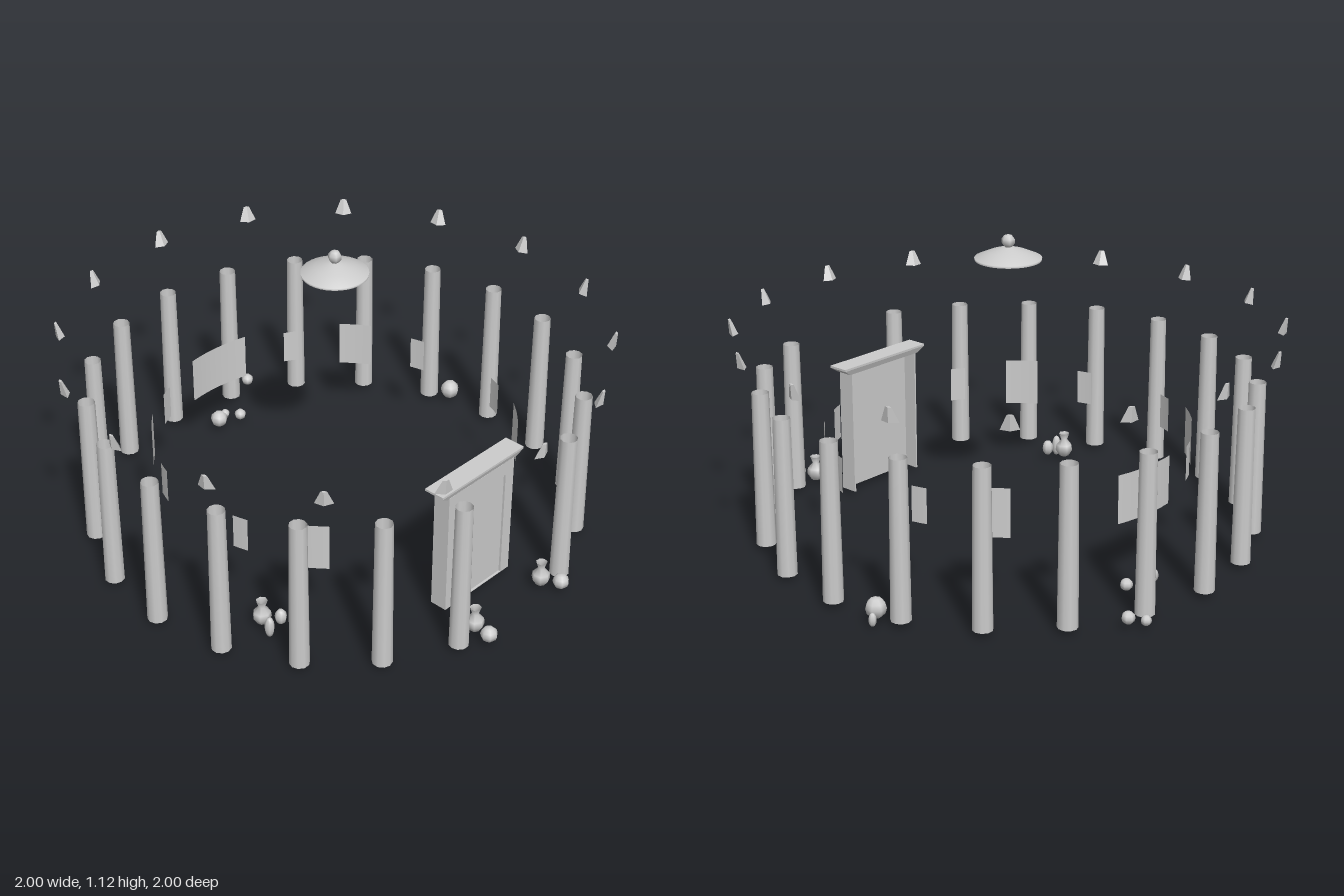
import * as THREE from 'three';

const RAD = Math.PI / 180;
const smooth = new THREE.MeshStandardMaterial({ color: 0xcccccc, side: THREE.DoubleSide });
const faceted = new THREE.MeshStandardMaterial({ color: 0xcccccc, side: THREE.DoubleSide, flatShading: true });

function add(parent, name, geometry, material, x = 0, y = 0, z = 0) {
  const mesh = new THREE.Mesh(geometry, material);
  mesh.name = name;
  mesh.position.set(x, y, z);
  parent.add(mesh);
  return mesh;
}

function group(parent, name) {
  const g = new THREE.Group();
  g.name = name;
  parent.add(g);
  return g;
}

// Four-sided frustum whose top is wider or narrower than its base
function frustum(w, d, h, topScaleX, topScaleZ) {
  const geo = new THREE.BoxGeometry(w, h, d);
  const p = geo.attributes.position;
  for (let i = 0; i < p.count; i++) {
    if (p.getY(i) > 0) p.setXYZ(i, p.getX(i) * topScaleX, p.getY(i), p.getZ(i) * topScaleZ);
  }
  geo.computeVertexNormals();
  return geo;
}

// Hollow tapering columns, with a gap at the gate
function buildColumns(root) {
  const columns = group(root, 'columns');
  const geo = new THREE.CylinderGeometry(0.031, 0.036, 0.575, 10, 1, true);
  for (let i = 1; i < 20; i++) {
    const a = (3.3 + i * 18) * RAD;
    const c = add(columns, 'column', geo, smooth, 0.89 * Math.sin(a), 0.3075, 0.89 * Math.cos(a));
    c.rotation.y = a;
  }
}

// Crown of small points leaning outward
function buildPoints(root) {
  const points = group(root, 'crownPoints');
  const geo = new THREE.CylinderGeometry(0.011, 0.032, 0.054, 4);
  geo.scale(1, 1, 0.5);
  const p = geo.attributes.position;
  for (let i = 0; i < p.count; i++) {
    p.setZ(i, p.getZ(i) + 0.98 + (p.getY(i) > 0 ? 0.012 : -0.002));
  }
  geo.computeVertexNormals();
  for (let i = 0; i < 16; i++) {
    add(points, 'crownPoint', geo, faceted, 0, 0.776, 0).rotation.y = i * 22.5 * RAD;
  }
}

// Curved panels hung on an inner circle: [angle, width, height]
function buildPanels(root) {
  const panels = group(root, 'wallPanels');
  const r = 0.665;
  const panel = (deg, w, h) => {
    const t = w / r;
    const geo = new THREE.CylinderGeometry(r, r, h, w > 0.2 ? 6 : 2, 1, true, deg * RAD - t / 2, t);
    add(panels, 'wallPanel', geo, smooth, 0, 0.336, 0);
  };
  for (const s of [-1, 1]) {
    for (const a of [28, 72, 108, 152]) panel(s * a, 0.058, 0.13);
    for (const a of [50, 130]) panel(s * a, 0.125, 0.178);
  }
  panel(180, 0.265, 0.178);
}

// Gate: shallow shell open at the back, inset door, flared cornice
function buildGate(root) {
  const gate = group(root, 'gate');
  const a = 3.2 * RAD;
  gate.rotation.y = a;
  gate.position.set(0.663 * Math.sin(a), 0, 0.663 * Math.cos(a));
  const W = 0.171, B = 0.02, T = 0.498;
  const frame = new THREE.Shape();
  frame.moveTo(-W, B).lineTo(W, B).lineTo(W, T).lineTo(-W, T).closePath();
  const hole = new THREE.Path();
  hole.moveTo(-0.128, B + 0.003).lineTo(-0.128, 0.445).lineTo(0.128, 0.445).lineTo(0.128, B + 0.003).closePath();
  frame.holes.push(hole);
  add(gate, 'doorFrame', new THREE.ExtrudeGeometry(frame, { depth: 0.012, bevelEnabled: false }), faceted, 0, 0, 0.022);
  add(gate, 'door', new THREE.BoxGeometry(0.258, 0.425, 0.004), faceted, 0, 0.2345, 0.024);
  for (const s of [-1, 1]) {
    add(gate, 'sideWall', new THREE.BoxGeometry(0.006, T - B, 0.064), faceted, s * (W - 0.003), (T + B) / 2, 0);
  }
  add(gate, 'cornice', frustum(0.36, 0.064, 0.022, 1.18, 1.25), faceted, 0, 0.505, 0);
  add(gate, 'corniceSlab', new THREE.BoxGeometry(0.425, 0.008, 0.08), faceted, 0, 0.52, 0);
}

// Floating roof cap with a knob
function buildCap(root) {
  const cap = group(root, 'roofCap');
  const profile = [[0.119, 1.022], [0.12, 1.03], [0.07, 1.052], [0.02, 1.068], [0, 1.069]]
    .map(([x, y]) => new THREE.Vector2(x, y));
  add(cap, 'capDome', new THREE.LatheGeometry(profile, 32), smooth);
  add(cap, 'capKnob', new THREE.SphereGeometry(0.025, 6, 5), smooth, 0, 1.09, 0);
}

// Vases and round jars standing in clusters
function buildPots(root) {
  const pots = group(root, 'pots');
  const profile = [[0, 0.02], [0.018, 0.02], [0.034, 0.045], [0.031, 0.066], [0.012, 0.088], [0.021, 0.114]]
    .map(([x, y]) => new THREE.Vector2(x, y));
  const vase = new THREE.LatheGeometry(profile, 7);
  for (const [x, z] of [[-0.64, 0.318], [-0.131, 0.846], [0.224, 0.83]]) add(pots, 'vase', vase, smooth, x, 0, z);
  // x, z, radius, bottom, top
  const jars = [
    [0.043, -0.72, 0.034, 0.02, 0.085], [0.099, -0.75, 0.018, 0.02, 0.055], [0.136, -0.7, 0.023, 0.02, 0.063],
    [0.294, -0.926, 0.019, 0.02, 0.058], [0.326, -0.876, 0.024, 0.02, 0.066],
    [0.87, -0.246, 0.037, 0.015, 0.09], [0.916, -0.28, 0.014, 0.01, 0.06],
    [-0.657, 0.376, 0.018, 0, 0.083], [-0.598, 0.368, 0.022, 0.02, 0.08],
    [-0.139, 0.92, 0.031, 0.018, 0.076], [0.259, 0.894, 0.03, 0.018, 0.076],
  ];
  for (const [x, z, r, y0, y1] of jars) {
    const jar = add(pots, 'jar', new THREE.SphereGeometry(1, 7, 6), smooth, x, (y0 + y1) / 2, z);
    jar.scale.set(r, (y1 - y0) / 2, r);
  }
}

export function createModel() {
  const root = new THREE.Group();
  root.name = 'columnCircle';
  buildColumns(root);
  buildPoints(root);
  buildPanels(root);
  buildGate(root);
  buildCap(root);
  buildPots(root);
  return root;
}
